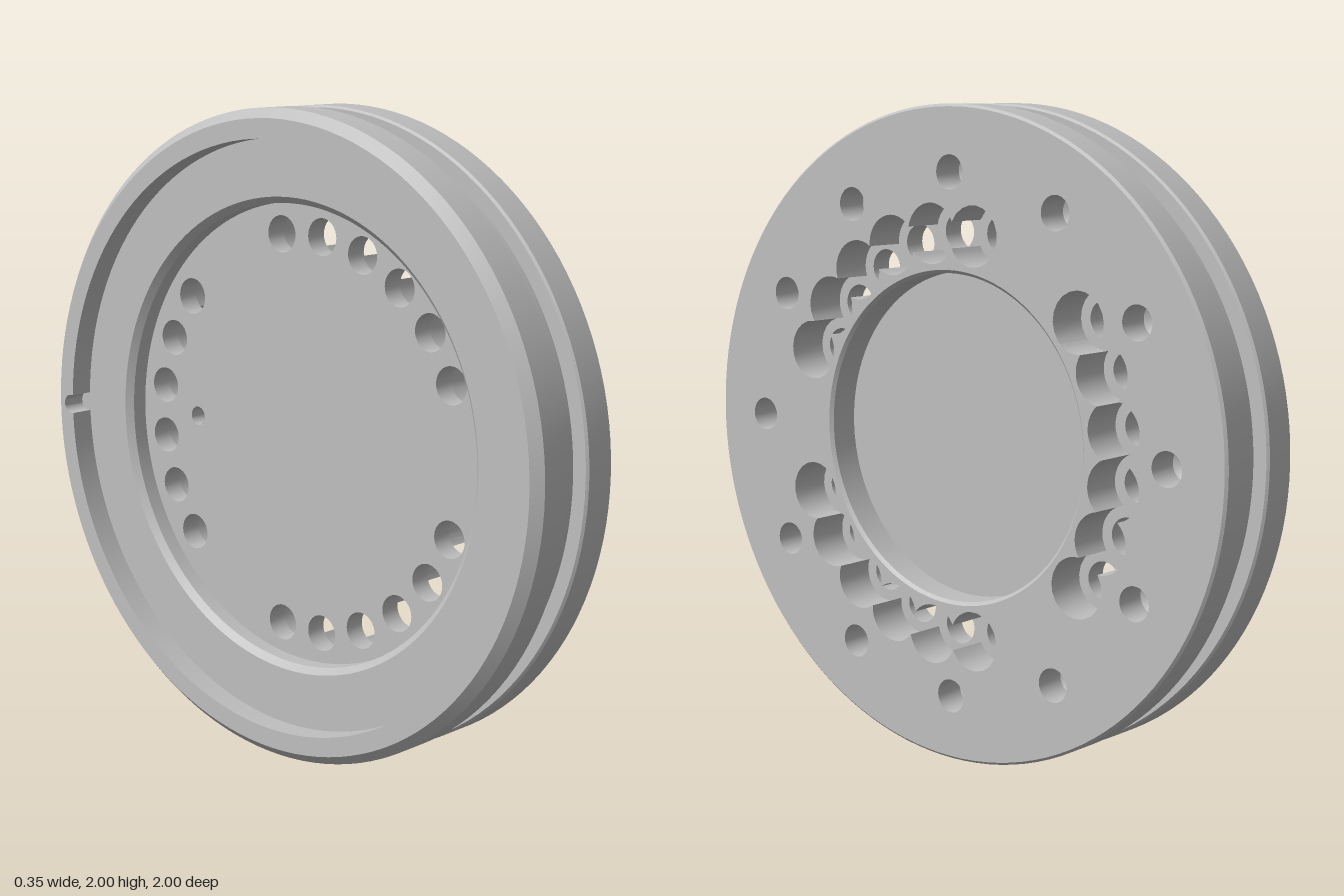
import * as THREE from 'three';
import { toCreasedNormals } from 'three/addons/utils/BufferGeometryUtils.js';

const DEG = Math.PI / 180;
const FRONT = 0.172, BACK = -0.175;      // axial ends along x
const PLATE = -0.03, BORE_FLOOR = 0.04;  // inner plate rear, counterbore floor
const RECESS = -0.1;                     // rear recess floor
const R_HOLES = 0.62, R_BORE = 0.092, R_THRU = 0.057, HALF_STEP = 7.7;

const metal = new THREE.MeshStandardMaterial({ color: 0xbfbfbf, side: THREE.DoubleSide });
metal.name = 'light grey metal';

// Points on an arc, angles in degrees
function arc(cx, cy, r, a0, a1, n) {
  const pts = [];
  for (let i = 0; i <= n; i++) {
    const a = (a0 + (a1 - a0) * i / n) * DEG;
    pts.push(new THREE.Vector2(cx + r * Math.cos(a), cy + r * Math.sin(a)));
  }
  return pts;
}
const circle = (r, cx = 0, cy = 0, n = 32) => arc(cx, cy, r, 0, 360, n).slice(0, -1);
const polar = (r, deg) => [r * Math.cos(deg * DEG), r * Math.sin(deg * DEG)];

// Outline of a row of six overlapping counterbores
function boreOutline(angles) {
  const phi = Math.acos(R_HOLES * Math.sin(HALF_STEP * DEG) / R_BORE) / DEG;
  const last = angles.length - 1, pts = [];
  const add = (t, a0, a1) => pts.push(...arc(...polar(R_HOLES, t), R_BORE, t + a0, t + a1, 14).slice(0, -1));
  const near = 90 + HALF_STEP - phi, far = 90 + HALF_STEP + phi;
  for (let i = 0; i <= last; i++) add(angles[i], i === 0 ? -180 : -near, i === last ? 180 : near);
  for (let i = last; i >= 0; i--) {
    if (i > 0 && i < last) add(angles[i], far, 360 - far);
    else if (i === last) add(angles[i], 180, 360 - far);
    else add(angles[i], far, 180);
  }
  return pts;
}

export function createModel() {
  const model = new THREE.Group();
  model.name = 'flange';
  const disc = new THREE.Group();
  disc.name = 'disc';
  disc.position.y = 1;
  disc.rotation.y = Math.PI / 2;   // local z becomes the disc axis (+x)
  model.add(disc);

  function add(name, geometry, x = 0, y = 0) {
    const mesh = new THREE.Mesh(geometry, metal);
    mesh.name = name;
    mesh.position.set(x, y, 0);
    disc.add(mesh);
  }
  // Turned surface from [radius, axial] pairs
  function turned(name, profile, segments = 128, x = 0, y = 0) {
    const g = new THREE.LatheGeometry(profile.map(p => new THREE.Vector2(...p)), segments);
    g.rotateX(Math.PI / 2);
    add(name, toCreasedNormals(g, 30 * DEG), x, y);
  }
  // Flat face with holes
  function face(name, outline, holes, z, flip = false) {
    const shape = new THREE.Shape(outline);
    shape.holes = holes.map(h => new THREE.Path(h));
    const g = new THREE.ShapeGeometry(shape);
    if (flip) {
      const idx = g.index.array;
      for (let i = 0; i < idx.length; i += 3) [idx[i], idx[i + 1]] = [idx[i + 1], idx[i]];
      g.computeVertexNormals();
    }
    g.translate(0, 0, z);
    add(name, g);
  }
  // Wall following a closed outline
  function wall(name, pts, z0, z1) {
    const pos = [];
    pts.forEach((a, i) => {
      const b = pts[(i + 1) % pts.length];
      pos.push(a.x, a.y, z0, a.x, a.y, z1, b.x, b.y, z1, a.x, a.y, z0, b.x, b.y, z1, b.x, b.y, z0);
    });
    const g = new THREE.BufferGeometry();
    g.setAttribute('position', new THREE.Float32BufferAttribute(pos, 3));
    add(name, toCreasedNormals(g, 35 * DEG));
  }

  // Outer rim with chamfers and a groove
  turned('outerRim', [[0.97, BACK], [1, -0.145], [1, -0.04], [0.993, -0.033], [0.95, -0.033],
    [0.95, 0.053], [0.993, 0.053], [1, 0.06], [1, FRONT - 0.008], [0.992, FRONT]]);

  // Three rows of counterbored through holes
  const thruHoles = [], bores = [];
  for (const middle of [0, 120, 240]) {
    const angles = [-5, -3, -1, 1, 3, 5].map(k => middle + k * HALF_STEP);
    const outline = boreOutline(angles);
    const holes = angles.map(a => circle(R_THRU, ...polar(R_HOLES, a)));
    bores.push(outline);
    thruHoles.push(...holes);
    wall('counterboreWall', outline, BORE_FLOOR, FRONT);
    face('counterboreFloor', outline, holes, BORE_FLOOR);
    for (const a of angles)
      turned('throughHole', [[R_THRU, BORE_FLOOR], [R_THRU, PLATE]], 32, ...polar(R_HOLES, a));
  }

  // Ring of twelve blind drilled holes
  const bolts = [];
  for (let i = 0; i < 12; i++) {
    const c = polar(0.8, i * 30);
    bolts.push(circle(0.052, ...c));
    turned('blindHole', [[0.052, FRONT], [0.052, 0.07], [0, 0.04]], 32, ...c);
  }

  // Front face and its central recess
  face('frontFace', circle(0.992, 0, 0, 128), [circle(0.51, 0, 0, 128), ...bores, ...bolts], FRONT);
  turned('frontRecess', [[0.51, FRONT], [0.5, FRONT - 0.01], [0.5, 0.07], [0, 0.07]]);

  // Rear rim and recess, with a small locating notch
  const a0 = Math.asin(0.03 / 0.91) / DEG;
  const rearOutline = [...arc(0, 0, 0.91, a0, 360 - a0, 128), ...arc(0.92, 0, 0.03, -90, 90, 12)];
  face('rearRimFace', circle(0.97, 0, 0, 128), [rearOutline], BACK, true);
  wall('rearRecessWall', rearOutline, BACK, RECESS);
  face('rearRecessFloor', rearOutline, [circle(0.735, 0, 0, 128)], RECESS, true);
  turned('rearStep', [[0.735, RECESS], [0.715, RECESS + 0.02], [0.715, PLATE]]);

  // Inner plate with through holes and a blind pin hole
  face('rearPlate', circle(0.715, 0, 0, 128), [...thruHoles, circle(0.03, 0.465, 0)], PLATE, true);
  turned('pinHole', [[0.03, PLATE], [0.03, 0.03], [0, 0.045]], 24, 0.465, 0);

  return model;
}
